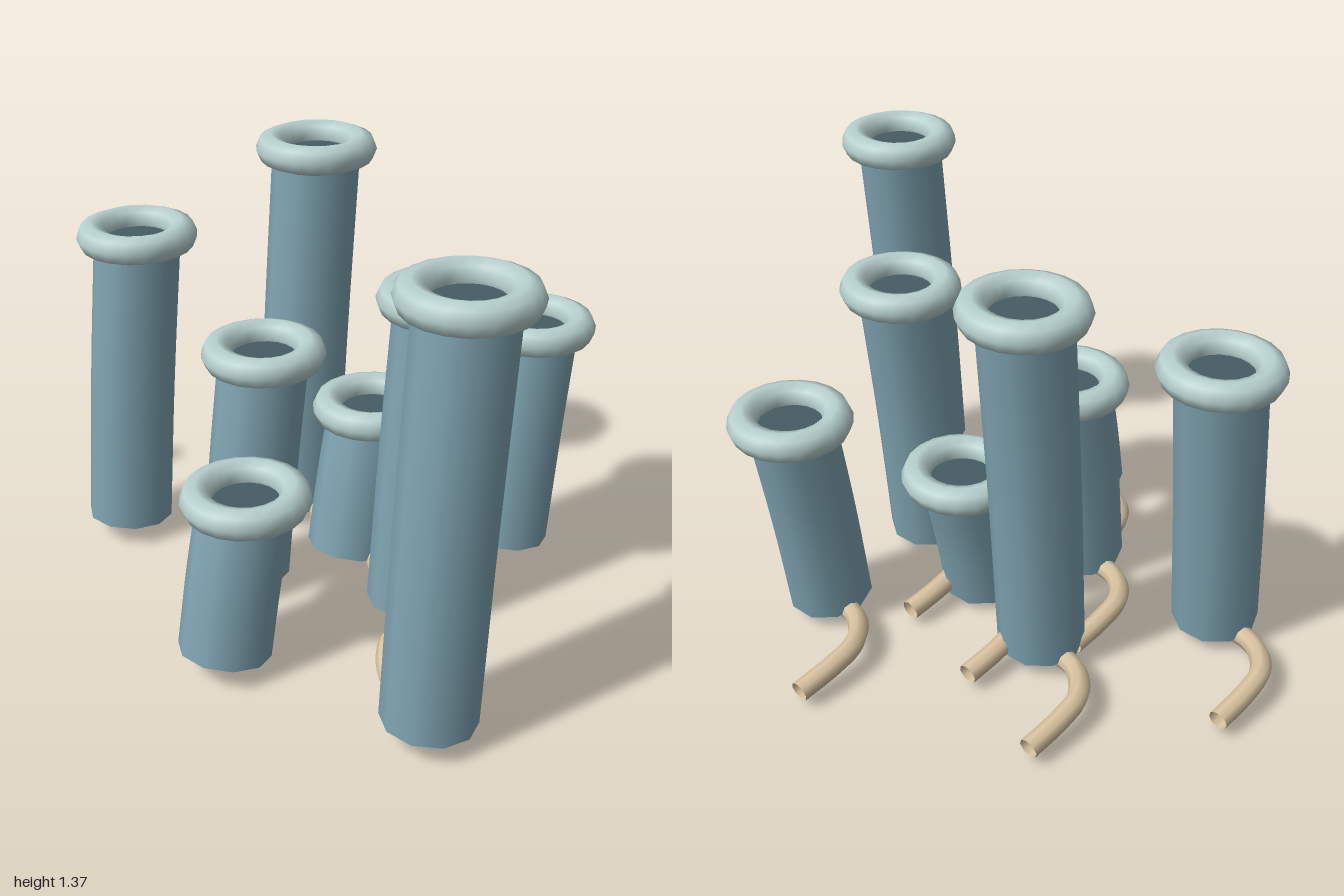
import * as THREE from 'three';

export function createModel() {
  const group = new THREE.Group();
  group.name = 'tubeCluster';

  const mat = (name, color) =>
    new THREE.MeshStandardMaterial({ name, color, side: THREE.DoubleSide });
  const tubeBlue = mat('tube blue', 0x7ea3b0);
  const rimPale = mat('rim pale', 0xb6d0ce);
  const hollowDark = mat('hollow dark', 0x465c65);
  const rootTan = mat('root tan', 0xd9c3a0);

  // x, z of the rim and height of the rim centre
  const tubes = [
    [-0.23, -0.68, 1.058], [0.235, -0.31, 1.318], [-0.22, -0.13, 0.8], [0.11, 0.04, 0.54],
    [-0.58, 0.13, 0.54], [0, 0.39, 1.058], [0.51, 0.39, 0.8], [-0.43, 0.79, 1.318],
  ];
  const LEAN = 0.11, BASE = 0.06;

  const curve = (points) =>
    new THREE.CatmullRomCurve3(points.map((p) => new THREE.Vector3(...p)));
  const add = (parent, name, geometry, material) => {
    const mesh = new THREE.Mesh(geometry, material);
    mesh.name = name;
    parent.add(mesh);
    return mesh;
  };

  // shared shapes
  const rimGeo = new THREE.TorusGeometry(0.148, 0.049, 8, 20).rotateX(Math.PI / 2);
  const hollowGeo = new THREE.CircleGeometry(0.125, 16).rotateX(-Math.PI / 2);
  const rootGeo = new THREE.TubeGeometry(curve([
    [0, 0.033, 0.01], [0.055, 0.062, -0.18], [0.17, 0.085, -0.28],
    [0.28, 0.075, -0.293], [0.415, 0.055, -0.283],
  ]), 20, 0.034, 8);

  tubes.forEach(([x, z, top], i) => {
    const sponge = new THREE.Group();
    sponge.name = `tube${i + 1}`;
    sponge.position.set(x - LEAN, 0, z);
    group.add(sponge);

    // leaning, slightly curved open body
    const path = curve([
      [0, BASE, 0], [LEAN * 0.45, (BASE + top) / 2, 0], [LEAN, top, 0],
    ]);
    add(sponge, 'body', new THREE.TubeGeometry(path, 12, 0.143, 10), tubeBlue);

    // rounded lip and dark opening
    add(sponge, 'rim', rimGeo, rimPale).position.set(LEAN, top, 0);
    add(sponge, 'hollow', hollowGeo, hollowDark).position.set(LEAN, top - 0.01, 0);

    // curved root along the ground
    add(sponge, 'root', rootGeo, rootTan);
  });

  return group;
}
